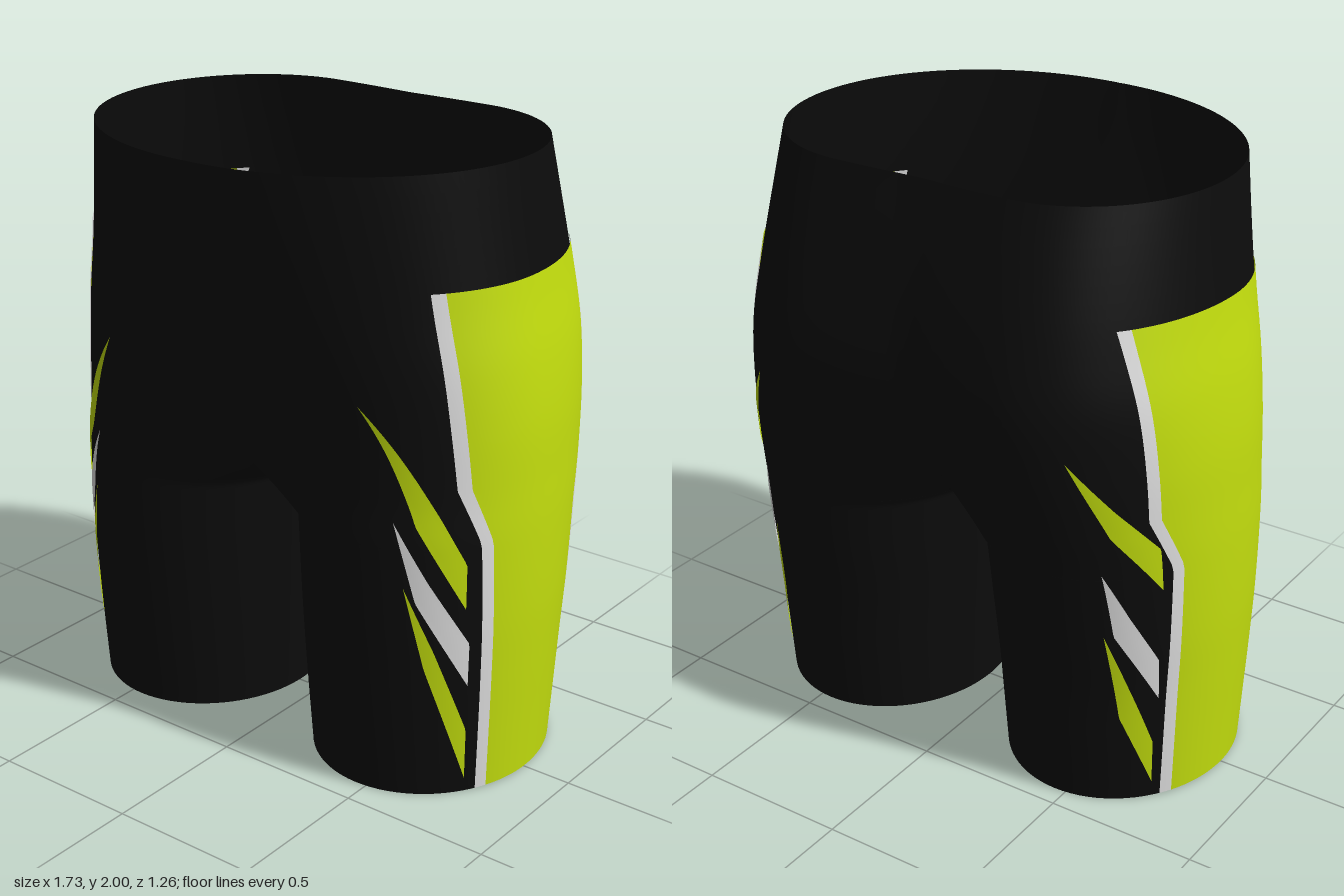
import * as THREE from 'three';
import { mergeVertices } from 'three/addons/utils/BufferGeometryUtils.js';

const CROTCH = 0.86;
const HALF = Math.PI / 2;

// Sections: y, side x, front z, back z, x of the front crest, x of the back crest
const SECTIONS = [
  [0.0, 0.83, 0.41, 0.43, 0.46, 0.46],
  [0.2, 0.84, 0.427, 0.45, 0.457, 0.457],
  [0.4, 0.85, 0.44, 0.47, 0.453, 0.453],
  [0.6, 0.858, 0.448, 0.50, 0.45, 0.45],
  [0.86, 0.86, 0.45, 0.54, 0.445, 0.445],
  [1.0, 0.857, 0.445, 0.57, 0.43, 0.43],
  [1.2, 0.85, 0.46, 0.61, 0.38, 0.39],
  [1.4, 0.83, 0.50, 0.63, 0.29, 0.36],
  [1.6, 0.798, 0.55, 0.60, 0.17, 0.34],
  [1.8, 0.77, 0.595, 0.55, 0.08, 0.32],
  [2.0, 0.745, 0.632, 0.49, 0.02, 0.30],
];

// Smooth (Hermite) lookup of one column of the section table
function look(y, c) {
  const S = SECTIONS, last = S.length - 1;
  let i = 0;
  while (i < last - 1 && y > S[i + 1][0]) i++;
  const slope = (k) => {
    const p = S[Math.max(k - 1, 0)], q = S[Math.min(k + 1, last)];
    return (q[c] - p[c]) / (q[0] - p[0]);
  };
  const h = S[i + 1][0] - S[i][0], t = (y - S[i][0]) / h, t2 = t * t, t3 = t2 * t;
  return (2 * t3 - 3 * t2 + 1) * S[i][c] + (t3 - 2 * t2 + t) * h * slope(i)
    + (3 * t2 - 2 * t3) * S[i + 1][c] + (t3 - t2) * h * slope(i + 1);
}

// One half section at height y; front or back quarter
function section(y, front) {
  const X = look(y, 1), Z = look(y, front ? 2 : 3), cx = look(y, front ? 4 : 5);
  const d = y - CROTCH;
  if (d <= 0) {
    const gap = 0.04 * Math.min(1, Math.sqrt(-d / 0.03)) - 0.05 * d / CROTCH;
    return { X, Z, cx, inner: cx - gap, end: Math.PI };
  }
  const turn = Math.acos(Math.tanh(Math.sqrt(d) * (front ? 3.2 : 2.2)));
  return { X, Z, cx, inner: cx / Math.sin(turn), end: HALF + turn };
}

// Surface point: angle 0 is the outer side, positive runs to the front
function point(y, a, offset = 0) {
  const s = section(y, a >= 0), A = Math.abs(a), dir = a >= 0 ? 1 : -1;
  const r = A <= HALF ? s.X - s.cx : s.inner;
  const c = Math.cos(A), n = Math.sin(A);
  const len = Math.hypot(c / r, n / s.Z);
  let x = s.cx + r * c + offset * c / r / len;
  if (Math.abs(x) < 1e-5) x = 0;
  return [x, y, dir * (s.Z * n + offset * n / s.Z / len)];
}

// Grid of rows and columns; cell order gives outward faces on the left half
function addGrid(pos, idx, rows, cols, at, flip) {
  const base = pos.length / 3;
  for (let i = 0; i <= rows; i++) {
    for (let j = 0; j <= cols; j++) {
      const p = at(i / rows, j / cols);
      pos.push(flip ? -p[0] : p[0], p[1], p[2]);
    }
  }
  for (let i = 0; i < rows; i++) {
    for (let j = 0; j < cols; j++) {
      const a = base + i * (cols + 1) + j, b = a + 1, c = a + cols + 1, d = c + 1;
      if (flip) idx.push(a, b, c, b, d, c);
      else idx.push(a, c, b, b, c, d);
    }
  }
}

function finish(pos, idx) {
  let g = new THREE.BufferGeometry();
  g.setAttribute('position', new THREE.Float32BufferAttribute(pos, 3));
  g.setIndex(idx);
  g = mergeVertices(g, 1e-5);
  g.computeVertexNormals();
  return g;
}

// Waist, seat and both legs as one cloth shell
function shellGeometry() {
  const pos = [], idx = [];
  const column = (y, v) => {
    const a = v * 2 - 1;
    return point(y, a * section(y, a >= 0).end);
  };
  for (const flip of [false, true]) {
    addGrid(pos, idx, 40, 80, (u, v) => column(CROTCH + (2 - CROTCH) * (1 - u) ** 2, v), flip);
    addGrid(pos, idx, 36, 80, (u, v) => column(CROTCH * (1 - u * u), v), flip);
  }
  return finish(pos, idx);
}

// Piecewise linear edge, points [y, value] from top to bottom
function edge(pts, y) {
  for (let i = 0; i < pts.length - 1; i++) {
    const [y0, v0] = pts[i], [y1, v1] = pts[i + 1];
    if (y >= y1 && y0 > y1) return v0 + (v1 - v0) * Math.min(1, (y0 - y) / (y0 - y1));
  }
  return pts[pts.length - 1][1];
}

const fromZ = (z, y) => Math.sign(z) * Math.asin(Math.min(1, Math.abs(z) / look(y, z >= 0 ? 2 : 3)));
const fromDegrees = (a) => THREE.MathUtils.degToRad(a);

// Printed patch between two edges, on the outside and the inside of the cloth
function patchGeometry(e0, e1, toAngle, rows, cols) {
  const pos = [], idx = [];
  const top = e0[0][0], bottom = e0[e0.length - 1][0];
  for (const flip of [false, true]) {
    for (const offset of [0.004, -0.004]) {
      addGrid(pos, idx, rows, cols, (u, v) => {
        const y = top + (bottom - top) * u;
        const a = toAngle(edge(e0, y), y), b = toAngle(edge(e1, y), y);
        return point(y, a + (b - a) * v, offset);
      }, flip);
    }
  }
  return finish(pos, idx);
}

export function createModel() {
  const mat = (name, color) => {
    const m = new THREE.MeshStandardMaterial({ color, side: THREE.DoubleSide });
    m.name = name;
    return m;
  };
  const black = mat('black cloth', 0x0c0c0c);
  const lime = mat('lime print', 0xc3de0e);
  const white = mat('white print', 0xe2e2e2);

  const group = new THREE.Group();
  group.name = 'shorts';
  const add = (name, geometry, material) => {
    const m = new THREE.Mesh(geometry, material);
    m.name = name;
    group.add(m);
  };
  add('shortsShell', shellGeometry(), black);

  // Side panels with a white stripe along each edge
  const front = [[1.655, 0.302], [1.05, 0.262], [0.87, 0.203], [0.003, 0.172]];
  const back = [[1.655, -0.392], [1.05, -0.347], [0.87, -0.265], [0.003, -0.228]];
  const shift = (pts, d) => pts.map(([y, z]) => [y, z + d]);
  add('sidePanels', patchGeometry(back, front, fromZ, 60, 28), lime);
  add('frontStripes', patchGeometry(front, shift(front, 0.036), fromZ, 60, 3), white);
  add('backStripes', patchGeometry(shift(back, -0.036), back, fromZ, 60, 3), white);

  // Slanted flashes: tip, upper bend, base top, base bottom, lower bend as [y, degrees]
  const flashes = [
    ['frontUpperFlash', lime, 1, [1.31, 72], [1.01, 52], [0.81, 38], [0.66, 38], [0.94, 59]],
    ['frontMiddleFlash', white, 1, [0.95, 68], [0.76, 54], [0.54, 36], [0.39, 36], [0.69, 59]],
    ['frontLowerFlash', lime, 1, [0.74, 64], [0.52, 51], [0.23, 36], [0.05, 36], [0.46, 55]],
    ['backUpperFlash', lime, -1, [1.27, 66], [1.10, 52], [0.95, 38], [0.80, 38], [1.01, 55.5]],
    ['backMiddleFlash', white, -1, [0.88, 61], [0.71, 51], [0.54, 40], [0.39, 40], [0.65, 58]],
    ['backLowerFlash', lime, -1, [0.65, 62], [0.43, 52], [0.22, 42], [0.06, 42], [0.33, 57]],
  ];
  for (const [name, material, dir, tip, upper, baseTop, base, lower] of flashes) {
    const sign = (pts) => pts.map(([y, a]) => [y, a * dir]);
    const near = sign([tip, upper, baseTop, base]), far = sign([tip, lower, base]);
    add(name, dir > 0 ? patchGeometry(near, far, fromDegrees, 40, 4)
      : patchGeometry(far, near, fromDegrees, 40, 4), material);
  }
  return group;
}
